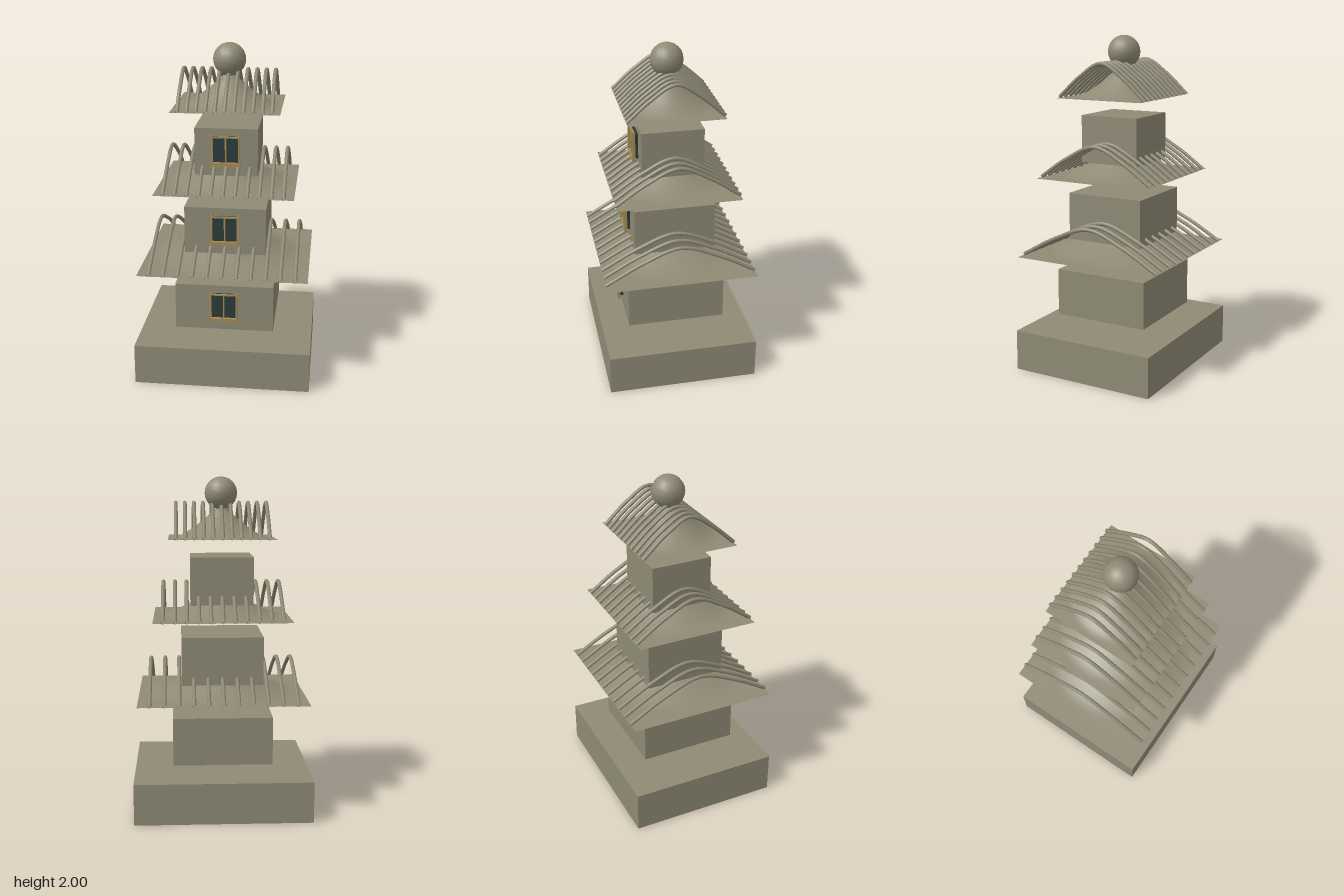
import * as THREE from 'three';

const stone = new THREE.MeshStandardMaterial({ color: 0x8f8a75, side: THREE.DoubleSide });
stone.name = 'stone';
const wood = new THREE.MeshStandardMaterial({ color: 0xa58c54 });
wood.name = 'wood';
const glass = new THREE.MeshStandardMaterial({ color: 0x2b3a3b });
glass.name = 'glass';

function add(parent, name, geometry, material, x = 0, y = 0, z = 0) {
  const mesh = new THREE.Mesh(geometry, material);
  mesh.name = name;
  mesh.position.set(x, y, z);
  parent.add(mesh);
  return mesh;
}

function box(parent, name, w, h, d, material, x, y, z) {
  return add(parent, name, new THREE.BoxGeometry(w, h, d), material, x, y, z);
}

// Two dark panes behind a frame with posts, mullion and sill; origin at the wall, bottom centre
function makeWindow() {
  const g = new THREE.Group();
  g.name = 'window';
  box(g, 'panes', 0.15, 0.155, 0.018, glass, 0, 0.095, 0.009);
  for (const x of [-0.078, 0.078]) box(g, 'framePost', 0.01, 0.185, 0.018, wood, x, 0.0925, 0.027);
  box(g, 'mullion', 0.008, 0.155, 0.012, wood, 0, 0.095, 0.024);
  box(g, 'topRail', 0.156, 0.008, 0.012, wood, 0, 0.172, 0.024);
  box(g, 'sill', 0.17, 0.02, 0.018, wood, 0, 0.012, 0.027);
  return g;
}

// Thin sheet swept up into a smooth concave cone, flat towards its corners
function makeRoofSheet(hx, hz) {
  const geo = new THREE.PlaneGeometry(hx * 2, hz * 2, 32, 32);
  geo.rotateX(-Math.PI / 2);
  const p = geo.attributes.position;
  for (let i = 0; i < p.count; i++) {
    const r = Math.hypot(p.getX(i), p.getZ(i)) / hz;
    p.setY(i, 0.205 * Math.pow(Math.max(0, 1 - r), 1.4));
  }
  geo.computeVertexNormals();
  return geo;
}

// Roof sheet with eleven arched ribs running front to back
function makeRoof(hx, hz) {
  const g = new THREE.Group();
  g.name = 'roof';
  add(g, 'roofSheet', makeRoofSheet(hx, hz), stone);
  const arch = new THREE.CatmullRomCurve3(
    [[-1, 0.005], [-0.5, 0.128], [0, 0.206], [0.5, 0.128], [1, 0.005]]
      .map(([t, y]) => new THREE.Vector3(0, y, t * hz)));
  const rib = new THREE.TubeGeometry(arch, 28, 0.0115, 8);
  for (let i = -5; i <= 5; i++) add(g, 'roofRib', rib, stone, (i / 5) * hx * 0.855);
  return g;
}

export function createModel() {
  const model = new THREE.Group();
  model.name = 'pagoda';
  box(model, 'base', 1.05, 0.245, 0.9, stone, 0, 0.1225, 0);

  // Storeys: wall half width, wall bottom, wall top, roof level, roof half sizes
  const storeys = [
    [0.295, 0.31, 0.595, 0.70, 0.5, 0.447],
    [0.242, 0.782, 1.067, 1.17, 0.407, 0.365],
    [0.185, 1.25, 1.533, 1.64, 0.315, 0.281],
  ];
  for (const [half, y0, y1, roofY, hx, hz] of storeys) {
    const storey = new THREE.Group();
    storey.name = 'storey';
    box(storey, 'walls', half * 2, y1 - y0, half * 2, stone, 0, (y0 + y1) / 2, 0);
    const win = makeWindow();
    win.position.set(0, y0 + 0.064, half);
    const roof = makeRoof(hx, hz);
    roof.position.y = roofY;
    storey.add(win, roof);
    model.add(storey);
  }

  // Ball on the summit
  add(model, 'finial', new THREE.SphereGeometry(0.097, 16, 12), stone, 0, 1.903, 0);
  return model;
}
